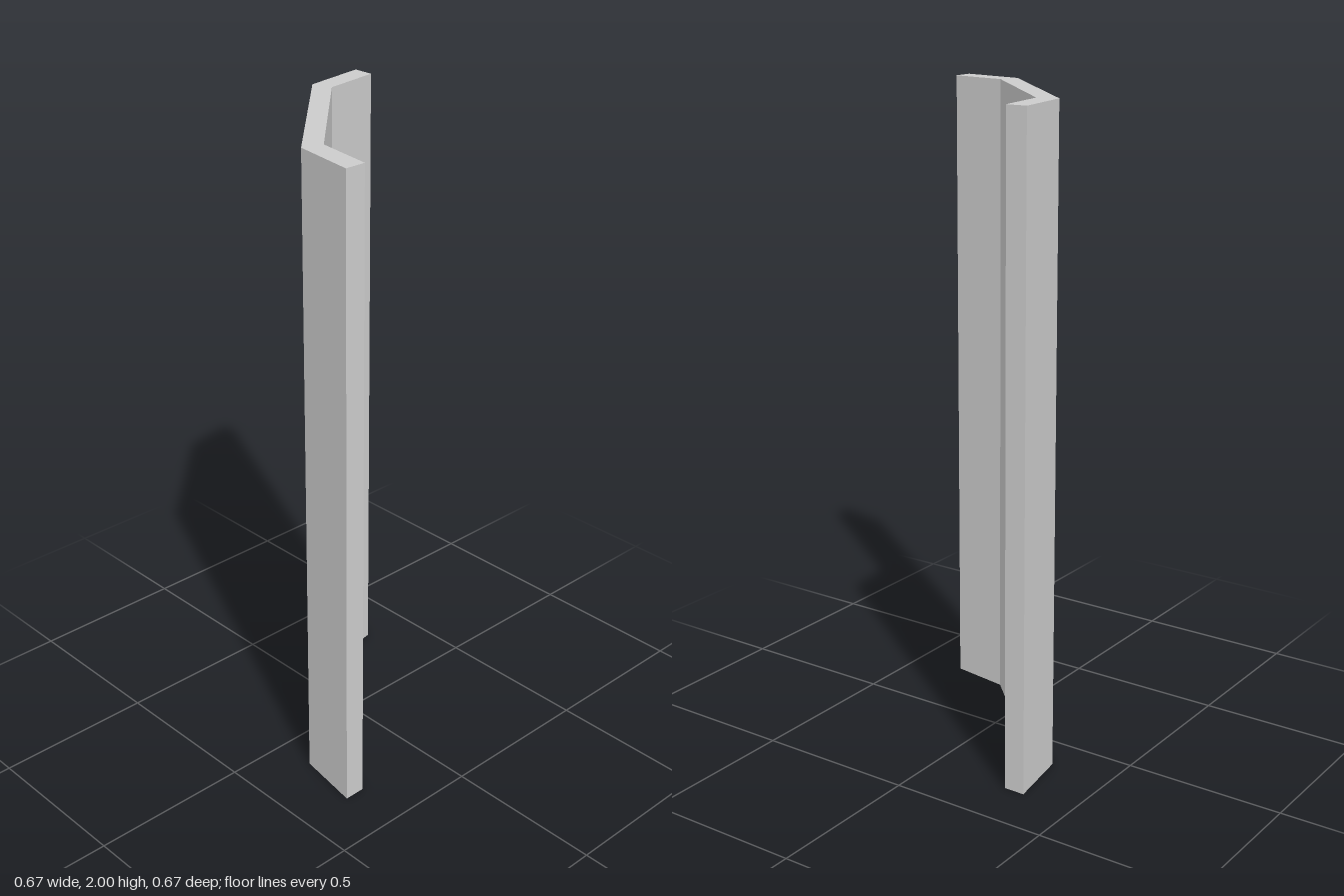
import * as THREE from 'three';

const HEIGHT = 2;

// Half of the plan outline as (x, -z); the other half swaps the two coordinates.
const outerHalf = [[-0.333, 0.333], [-0.301, 0.128]];
const innerHalf = [[-0.239, 0.148], [-0.267, 0.333]];
const mirrored = (points) => points.map(([a, b]) => [b, a]).reverse();

export function createModel() {
  const group = new THREE.Group();
  group.name = 'cornerPanel';

  // Bent panel: a wide diagonal face with a flange folded back at each side
  const outline = [
    ...outerHalf, ...mirrored(outerHalf),
    ...mirrored(innerHalf), ...innerHalf,
  ].map(([x, y]) => new THREE.Vector2(x, y));

  const geometry = new THREE.ExtrudeGeometry(new THREE.Shape(outline), {
    depth: HEIGHT,
    bevelEnabled: false,
  });
  geometry.rotateX(-Math.PI / 2); // stand the extrusion upright

  const material = new THREE.MeshStandardMaterial({ color: 0xcccccc, flatShading: true });
  const panel = new THREE.Mesh(geometry, material);
  panel.name = 'bentPanel';
  group.add(panel);

  return group;
}
